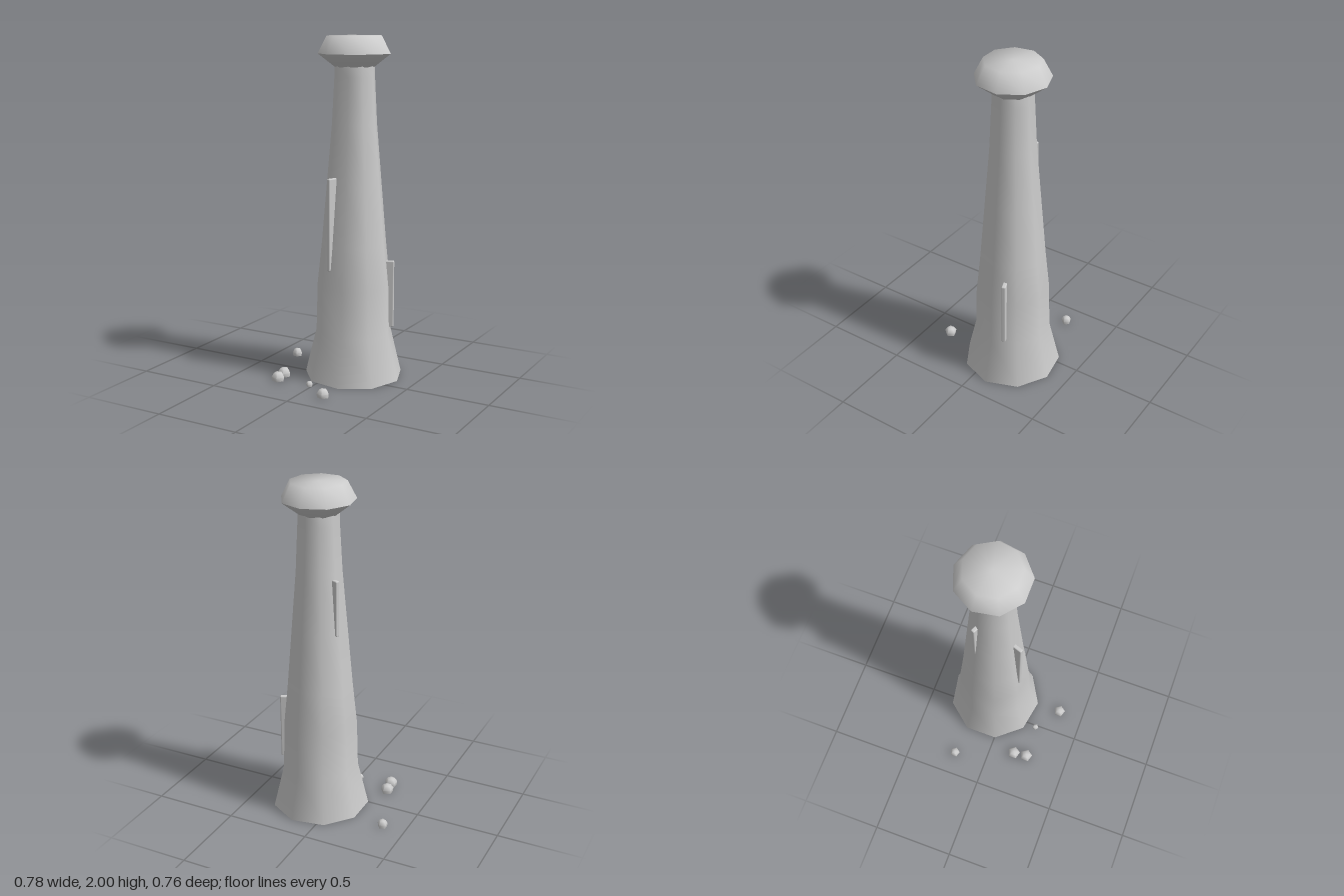
import * as THREE from 'three';
import { toCreasedNormals } from 'three/addons/utils/BufferGeometryUtils.js';
import { RoundedBoxGeometry } from 'three/addons/geometries/RoundedBoxGeometry.js';

const CENTER = [0.1, -0.095];

// Faceted solid of revolution from [radius, y] pairs, listed from bottom to top
function turned(profile, sides, start, crease) {
  const points = profile.map(([r, y]) => new THREE.Vector2(r, y));
  return toCreasedNormals(new THREE.LatheGeometry(points, sides, start), crease);
}

export function createModel() {
  const model = new THREE.Group();
  const material = new THREE.MeshStandardMaterial({ color: 0xcccccc });
  const add = (name, geometry, x, y, z) => {
    const mesh = new THREE.Mesh(geometry, material);
    mesh.name = name;
    mesh.position.set(x, y, z);
    model.add(mesh);
    return mesh;
  };

  // Tapering nine-sided shaft with a flared foot
  add('shaft', turned([
    [0, 0], [0.29, 0], [0.225, 0.27], [0.218, 0.55], [0.192, 0.8],
    [0.162, 1.15], [0.132, 1.5], [0.118, 1.77], [0.117, 1.84],
  ], 9, Math.PI / 2, 0.85), CENTER[0], 0, CENTER[1]);

  // Wide cap, turned half a facet against the shaft
  add('cap', turned([
    [0, 1.825], [0.115, 1.825], [0.212, 1.9], [0.16, 2], [0, 2],
  ], 9, Math.PI, 1.2), CENTER[0], 0, CENTER[1]);

  // Upright ribs: angle from +x towards +z, outer radius, bottom, top
  const ribs = [
    ['frontRib', 109, 0.205, 0.66, 1.2],
    ['leftRib', -21, 0.237, 0.3, 0.7],
    ['rearRib', 204, 0.165, 1.14, 1.47],
  ];
  for (const [name, degrees, outer, bottom, top] of ribs) {
    const angle = THREE.MathUtils.degToRad(degrees);
    const depth = 0.08;
    const r = outer - depth / 2;
    const rib = add(name, new RoundedBoxGeometry(depth, top - bottom, 0.025, 2, 0.007),
      CENTER[0] + r * Math.cos(angle), (bottom + top) / 2, CENTER[1] + r * Math.sin(angle));
    rib.rotation.y = -angle;
  }

  // Small five-sided stones: x, z, radius, height, turn
  const stones = [
    [-0.362, -0.207, 0.031, 0.047, 0],
    [-0.232, 0.158, 0.04, 0.053, 0.05],
    [-0.222, 0.24, 0.04, 0.053, 0],
    [-0.014, 0.231, 0.02, 0.03, -0.3],
    [0.143, 0.345, 0.037, 0.05, 0],
  ];
  for (const [x, z, r, h, turn] of stones) {
    const stone = add('stone', turned([
      [0, 0], [0.9 * r, 0], [r, 0.45 * h], [0.6 * r, 0.92 * h], [0, h],
    ], 5, Math.PI / 2, 1.3), x, 0, z);
    stone.rotation.y = turn;
  }

  return model;
}
